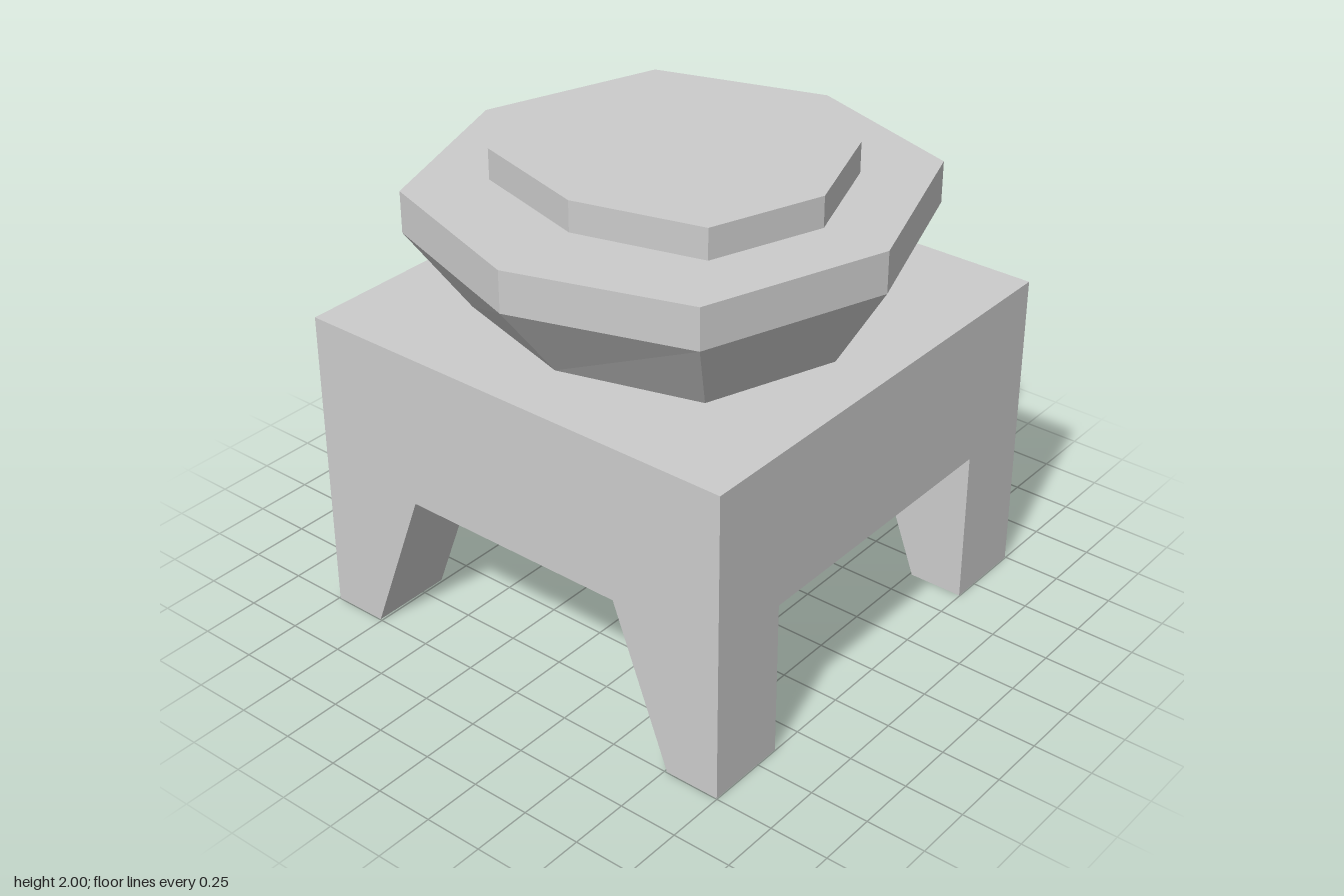
import * as THREE from 'three';

const material = new THREE.MeshStandardMaterial({
  color: 0xcccccc, flatShading: true, side: THREE.DoubleSide,
});

const W = 0.997;        // half width of the base
const TOP = 1.335;      // height of the base
const ARCH = 0.675;     // height of the openings between the legs
const LEG_X = 0.64;     // inner side of the legs
const FOOT_Z = 0.76, KNEE_Z = 0.505; // sloped side of the legs, bottom and top

function addMesh(parent, name, geometry) {
  const mesh = new THREE.Mesh(geometry, material);
  mesh.name = name;
  parent.add(mesh);
  return mesh;
}

// Surface from triangles or quads, each a list of corner points
function facesGeometry(faces) {
  const pos = [];
  for (const f of faces) {
    for (let i = 1; i < f.length - 1; i++) pos.push(...f[0], ...f[i], ...f[i + 1]);
  }
  const g = new THREE.BufferGeometry();
  g.setAttribute('position', new THREE.Float32BufferAttribute(pos, 3));
  g.computeVertexNormals();
  return g;
}

// Eight-sided ring: points on the axes at rx, rz and corners at dx, dz
function ring(y, rx, rz, dx, dz) {
  return [[0, rz], [dx, dz], [rx, 0], [dx, -dz], [0, -rz], [-dx, -dz], [-rx, 0], [-dx, dz]]
    .map(([x, z]) => [x - 0.006, y, z - 0.004]);
}

// Band of quads joining two rings, the lower one first
function band(a, b) {
  return a.map((p, i) => {
    const j = (i + 1) % a.length;
    return [p, a[j], b[j], b[i]];
  });
}

// Wall panel with an opening that leaves two legs
function wallGeometry(foot, knee) {
  return new THREE.ShapeGeometry(new THREE.Shape([
    [-W, 0], [-foot, 0], [-knee, ARCH], [knee, ARCH], [foot, 0], [W, 0], [W, TOP], [-W, TOP],
  ].map(([x, y]) => new THREE.Vector2(x, y))));
}

export function createModel() {
  const model = new THREE.Group();
  model.name = 'pedestal';

  const lower = ring(TOP, 0.71, 0.772, 0.543, 0.58);
  const rimLow = ring(1.695, 0.99, 0.986, 0.755, 0.722);
  const rimHigh = ring(1.87, 0.99, 0.986, 0.755, 0.722);
  const capLow = ring(1.87, 0.612, 0.697, 0.468, 0.53);
  const capHigh = ring(2, 0.612, 0.697, 0.468, 0.53);

  // Hollow base: four walls
  const base = new THREE.Group();
  base.name = 'base';
  model.add(base);
  ['frontWall', 'leftWall', 'backWall', 'rightWall'].forEach((name, i) => {
    const geometry = i % 2 ? wallGeometry(FOOT_Z, KNEE_Z) : wallGeometry(LEG_X, LEG_X);
    geometry.translate(0, 0, W).rotateY(i * Math.PI / 2);
    addMesh(base, name, geometry);
  });

  // Base top, open beneath the bowl
  const topShape = new THREE.Shape(
    [[-W, -W], [W, -W], [W, W], [-W, W]].map(([x, y]) => new THREE.Vector2(x, y)));
  topShape.holes.push(new THREE.Path(lower.map(([x, , z]) => new THREE.Vector2(x, -z))));
  addMesh(base, 'baseTop',
    new THREE.ShapeGeometry(topShape).rotateX(-Math.PI / 2).translate(0, TOP, 0));

  // Inner sides of the four open-ended legs
  for (const sx of [1, -1]) {
    for (const sz of [1, -1]) {
      const p = (x, y, z) => [sx * x, y, sz * z];
      const faces = [
        [p(LEG_X, 0, W), p(LEG_X, 0, FOOT_Z), p(LEG_X, ARCH, KNEE_Z), p(LEG_X, ARCH, W)],
        [p(LEG_X, 0, FOOT_Z), p(W, 0, FOOT_Z), p(W, ARCH, KNEE_Z), p(LEG_X, ARCH, KNEE_Z)],
      ];
      // Mirrored legs need their corners reversed to face outwards
      if (sx * sz > 0) faces.forEach((f) => f.reverse());
      addMesh(base, (sz > 0 ? 'front' : 'back') + (sx > 0 ? 'Left' : 'Right') + 'LegInside',
        facesGeometry(faces));
    }
  }

  // Flared bowl, rim and raised cap
  addMesh(model, 'bowl', facesGeometry(band(lower, rimLow)));
  addMesh(model, 'rim', facesGeometry([...band(rimLow, rimHigh), ...band(rimHigh, capLow)]));
  addMesh(model, 'cap', facesGeometry([...band(capLow, capHigh), capHigh]));

  return model;
}
